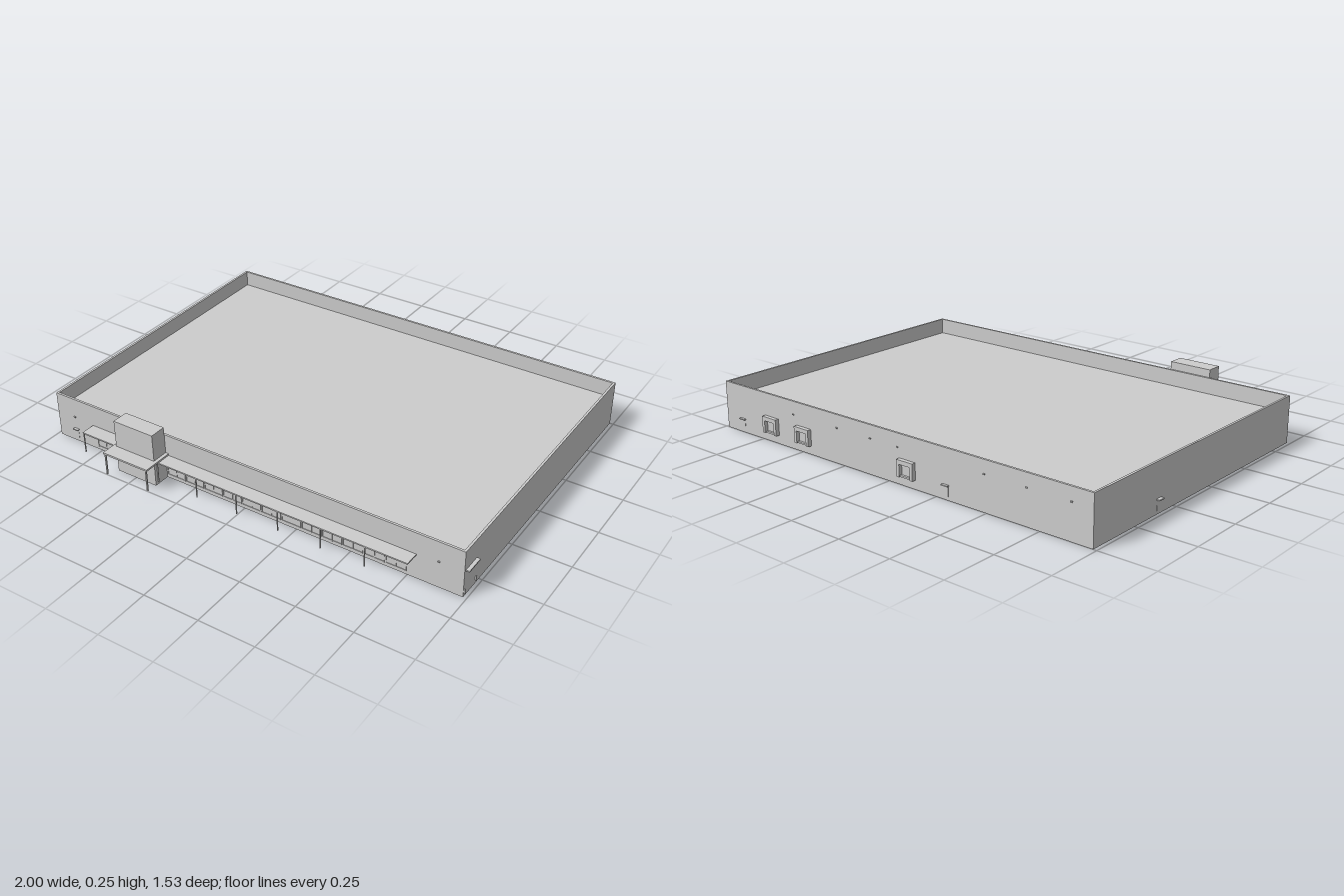
import * as THREE from 'three';

export function createModel() {
  const model = new THREE.Group();
  const paint = new THREE.MeshStandardMaterial({ color: 0xcccccc });
  paint.name = 'light grey';

  // Box given by its lower and upper limits on each axis
  function block(name, x0, x1, y0, y1, z0, z1, parent = model) {
    const mesh = new THREE.Mesh(new THREE.BoxGeometry(x1 - x0, y1 - y0, z1 - z0), paint);
    mesh.position.set((x0 + x1) / 2, (y0 + y1) / 2, (z0 + z1) / 2);
    mesh.name = name;
    parent.add(mesh);
    return mesh;
  }
  function part(name) {
    const group = new THREE.Group();
    group.name = name;
    model.add(group);
    return group;
  }

  const W = 0.985, BACK = -0.75, FRONT = 0.625, H = 0.21, T = 0.01;

  // Hollow wall ring, rising past the roof as a parapet
  const outline = new THREE.Shape();
  outline.moveTo(-W, -FRONT).lineTo(W, -FRONT).lineTo(W, -BACK).lineTo(-W, -BACK).closePath();
  const inside = new THREE.Path();
  inside.moveTo(-W + T, -FRONT + T).lineTo(-W + T, -BACK - T).lineTo(W - T, -BACK - T).lineTo(W - T, -FRONT + T).closePath();
  outline.holes.push(inside);
  const wallGeometry = new THREE.ExtrudeGeometry(outline, { depth: H, bevelEnabled: false });
  wallGeometry.rotateX(-Math.PI / 2);
  const walls = new THREE.Mesh(wallGeometry, paint);
  walls.name = 'walls';
  model.add(walls);
  block('roof', -W + T, W - T, 0.136, 0.139, BACK + T, FRONT - T);

  // Entrance tower with its own canopy
  block('entranceTower', -0.595, -0.395, 0, 0.245, FRONT, 0.7);
  const entrance = part('entranceCanopy');
  block('canopySlab', -0.61, -0.38, 0.114, 0.122, FRONT, 0.765, entrance);
  for (const x of [-0.602, -0.388]) {
    block('canopyPost', x - 0.003, x + 0.003, 0.015, 0.115, 0.757, 0.763, entrance);
  }

  // Long front canopy on slim posts
  const canopy = part('frontCanopy');
  block('canopySlab', -0.79, 0.785, 0.107, 0.113, FRONT, 0.69, canopy);
  for (let i = 0; i < 8; i++) {
    const x = -0.786 + i * 0.198;
    block('canopyPost', x - 0.002, x + 0.002, 0.015, 0.108, 0.685, 0.689, canopy);
  }

  // Shopfront glazing: thin panes between mullions and rails
  const shopfront = part('shopfront');
  for (let bay = 0; bay < 16; bay++) {
    const x = -0.77 + bay * 0.095;
    if (x > -0.68 && x < -0.4) continue;
    block('pane', x + 0.004, x + 0.09, 0.02, 0.096, FRONT, 0.626, shopfront);
    for (const edge of [x + 0.002, x + 0.047, x + 0.09]) {
      block('mullion', edge - 0.0015, edge + 0.0015, 0.015, 0.098, FRONT, 0.628, shopfront);
    }
    for (const y of [0.018, 0.072, 0.097]) {
      block('rail', x + 0.002, x + 0.09, y - 0.0015, y + 0.0015, FRONT, 0.628, shopfront);
    }
  }

  // Loading docks: padded frame around a recessed door
  for (const x of [-0.1, 0.49, 0.69]) {
    const dock = part('loadingDock');
    const z = -0.768;
    for (const s of [-1, 1]) {
      block('sidePad', x + s * 0.035 - 0.007, x + s * 0.035 + 0.007, 0.038, 0.11, z, BACK, dock);
    }
    block('headPad', x - 0.028, x + 0.028, 0.092, 0.11, z, BACK, dock);
    block('dockDoor', x - 0.028, x + 0.028, 0.045, 0.092, -0.752, BACK, dock);
    block('dockLeveller', x - 0.028, x + 0.028, 0.038, 0.045, -0.762, BACK, dock);
  }

  // Small rear and front door hoods
  for (const x of [-0.3, 0.88]) {
    block('rearDoorHood', x - 0.016, x + 0.016, 0.058, 0.063, -0.761, BACK);
    block('rearDoor', x - 0.012, x + 0.012, 0.015, 0.056, -0.751, BACK);
  }
  block('frontDoorHood', -0.9, -0.875, 0.058, 0.063, FRONT, 0.637);
  block('frontDoor', -0.897, -0.878, 0.015, 0.056, FRONT, 0.626);

  // Wall lamps
  for (const x of [-0.89, -0.69, -0.49, -0.05, 0.1, 0.29, 0.55]) {
    block('rearLamp', x - 0.004, x + 0.004, 0.15, 0.155, -0.754, BACK);
  }
  for (const x of [-0.89, 0.88]) {
    block('frontLamp', x - 0.004, x + 0.004, 0.118, 0.123, FRONT, 0.63);
  }

  // Side hood and bollards on the left wall, door hood on the right wall
  block('sideHood', W, 1, 0.116, 0.122, 0.53, 0.615);
  for (const z of [0.53, 0.62]) block('bollard', W, 0.99, 0.015, 0.035, z - 0.002, z + 0.002);
  block('sideDoorHood', -1, -W, 0.058, 0.063, -0.365, -0.335);
  block('sideDoor', -0.986, -W, 0.015, 0.056, -0.361, -0.339);

  return model;
}
